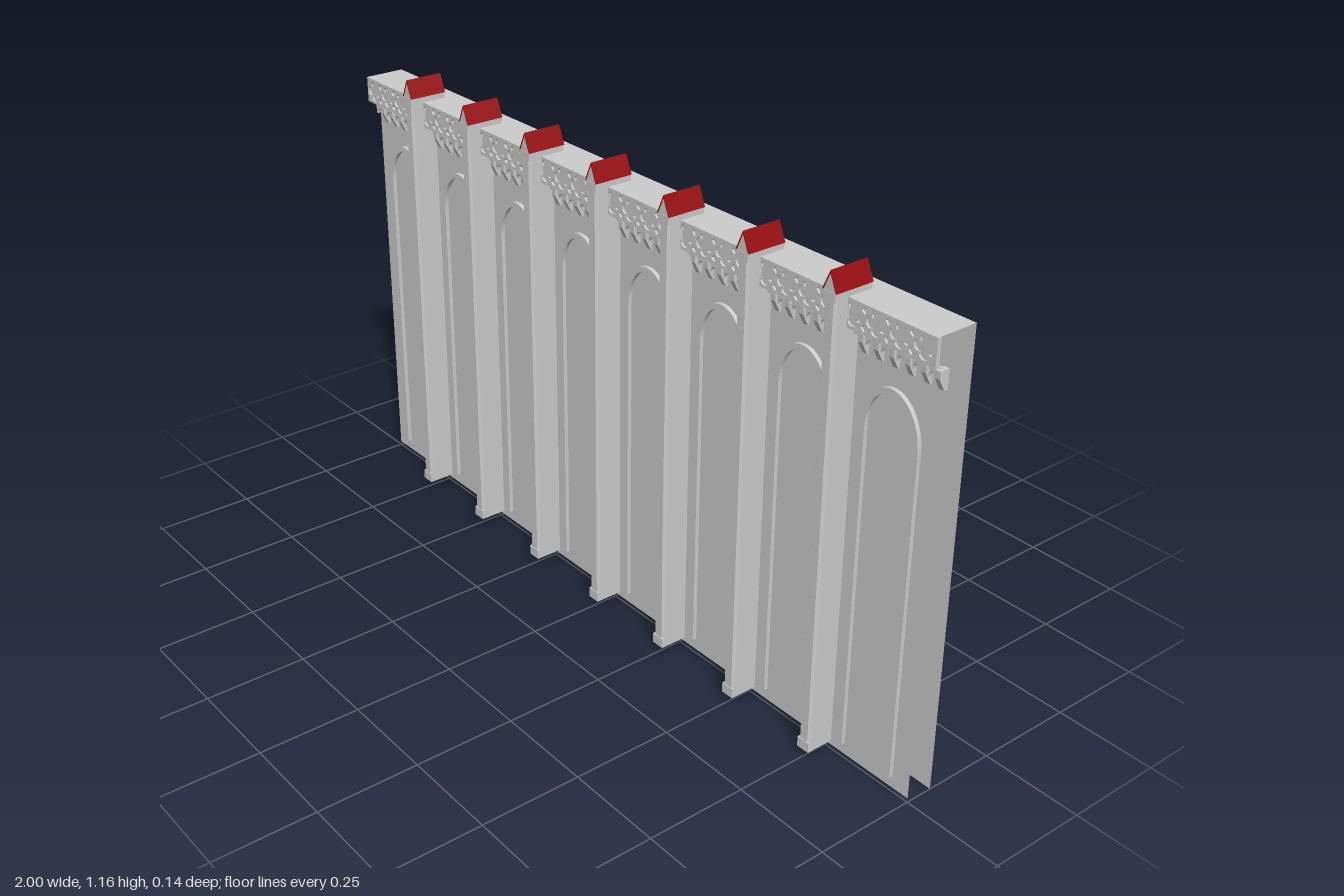
import * as THREE from 'three';

const stone = new THREE.MeshStandardMaterial({ color: 0xcccccc, side: THREE.DoubleSide, flatShading: true });
const tile = new THREE.MeshStandardMaterial({ color: 0x960c10, side: THREE.DoubleSide, flatShading: true });
const BAY = 0.25;

const polygon = (points) => new THREE.Shape(points.map(([x, y]) => new THREE.Vector2(x, y)));
const extrude = (shape, depth, curveSegments = 12) =>
  new THREE.ExtrudeGeometry(shape, { depth, bevelEnabled: false, curveSegments });

function add(parent, name, geometry, material = stone, x = 0, y = 0, z = 0) {
  const mesh = new THREE.Mesh(geometry, material);
  mesh.name = name;
  mesh.position.set(x, y, z);
  parent.add(mesh);
  return mesh;
}

// Folded sheet along x: back, top, parapet face, sloping soffit and front wall
function wallSheet() {
  const profile = [[-0.07, 0], [-0.07, 1.105], [0.03, 1.105], [0.03, 1.04], [0, 1.028], [0, 0.01]];
  const pos = [];
  for (let i = 0; i < profile.length - 1; i++) {
    const [za, ya] = profile[i], [zb, yb] = profile[i + 1];
    const a = [-1, ya, za], b = [-1, yb, zb], c = [1, yb, zb], d = [1, ya, za];
    pos.push(...a, ...b, ...c, ...a, ...c, ...d);
  }
  const g = new THREE.BufferGeometry();
  g.setAttribute('position', new THREE.Float32BufferAttribute(pos, 3));
  g.computeVertexNormals();
  return g;
}

// Tall round-headed outline standing at y = base
function archPath(path, half, base, spring, rise) {
  path.moveTo(half, base);
  path.lineTo(half, spring);
  path.absellipse(0, spring, half, rise, 0, Math.PI, false);
  path.lineTo(-half, base);
  return path;
}

// Hollow arch moulding, open at the foot
function archMoulding() {
  const shape = archPath(new THREE.Shape(), 0.078, 0.04, 0.83, 0.11);
  shape.lineTo(-0.066, 0.04);
  shape.lineTo(-0.066, 0.83);
  shape.absellipse(0, 0.83, 0.066, 0.098, Math.PI, 0, true);
  shape.lineTo(0.066, 0.04);
  return extrude(shape, 0.02, 16);
}

// One bay of parapet tracery: quatrefoils with small diamonds between
function traceryPanel() {
  const h = 0.0325, pitch = BAY / 4;
  const shape = polygon([[-BAY / 2, -h], [BAY / 2, -h], [BAY / 2, h], [-BAY / 2, h]]);
  for (let i = 0; i < 4; i++) {
    const cx = (i - 1.5) * pitch;
    const foil = [];
    for (let k = 0; k < 32; k++) {
      const t = (k / 32) * Math.PI * 2;
      const r = 0.015 + 0.011 * Math.sqrt(Math.abs(Math.cos(2 * t)));
      foil.push([cx + r * Math.cos(t), r * Math.sin(t)]);
    }
    shape.holes.push(polygon(foil));
    if (i === 3) continue;
    for (const s of [-1, 1]) {
      const x = cx + pitch / 2, y = s * 0.019, d = 0.008;
      shape.holes.push(polygon([[x - d, y], [x, y - d], [x + d, y], [x, y + d]]));
    }
  }
  return extrude(shape, 0.01);
}

// One bay of small arches hung between the corbels
function corbelArches() {
  const pitch = BAY / 6;
  const shape = new THREE.Shape();
  shape.moveTo(BAY / 2, 1.03);
  shape.lineTo(-BAY / 2, 1.03);
  shape.lineTo(-BAY / 2, 1.004);
  for (let i = 0; i < 6; i++) {
    const cx = (i - 2.5) * pitch;
    shape.lineTo(cx - 0.014, 1.004);
    shape.absellipse(cx, 1.004, 0.014, 0.016, Math.PI, 0, true);
  }
  shape.lineTo(BAY / 2, 1.004);
  return extrude(shape, 0.012, 6);
}

// Tapered bracket, profile in z and y
function corbel() {
  const w = 0.013;
  const g = extrude(polygon([[-0.005, 0.985], [0.005, 0.985], [0.012, 0.998], [0.019, 1.012], [0.02, 1.03], [-0.005, 1.03]]), w);
  return g.rotateY(-Math.PI / 2).translate(w / 2, 0, 0);
}

// Buttress with square foot and head, chamfered shaft and gabled tiled cap
function buttress() {
  const group = new THREE.Group();
  group.name = 'buttress';
  const w = 0.017, c = 0.006, z = 0.068;
  const shaft = extrude(polygon([
    [-w, 0.03], [w, 0.03], [w, -z + c], [w - c, -z], [-w + c, -z], [-w, -z + c],
  ]), 1.07);
  add(group, 'buttressShaft', shaft.rotateX(-Math.PI / 2), stone, 0, 0.04, 0);
  add(group, 'buttressFoot', new THREE.BoxGeometry(2 * w, 0.025, 0.1), stone, 0, 0.0325, 0.02);
  add(group, 'buttressHead', new THREE.BoxGeometry(2 * w, 0.02, 0.1), stone, 0, 1.11, 0.02);
  add(group, 'gable', extrude(polygon([[-w, 1.12], [w, 1.12], [0, 1.159]]), 0.098), stone, 0, 0, -0.029);
  const roof = polygon([[-0.02, 1.12], [-0.017, 1.12], [0, 1.159], [0.017, 1.12], [0.02, 1.12], [0, 1.165]]);
  add(group, 'capRoof', extrude(roof, 0.1), tile, 0, 0, -0.03);
  return group;
}

export function createModel() {
  const model = new THREE.Group();
  model.name = 'arcadedWall';
  add(model, 'wall', wallSheet());

  // Eight bays of blind arches, tracery and corbels
  const arch = archMoulding(), tracery = traceryPanel(), arches = corbelArches(), bracket = corbel();
  for (let i = 0; i < 8; i++) {
    const x = (i - 3.5) * BAY;
    add(model, 'archMoulding', arch, stone, x, 0, -0.01);
    add(model, 'parapetTracery', tracery, stone, x, 1.0725, 0.025);
    add(model, 'corbelArches', arches, stone, x, 0, 0);
    for (let k = 0; k < 6; k++) add(model, 'corbel', bracket, stone, x + (k - 2.5) * (BAY / 6) + BAY / 12 - (k === 5 && i === 7 ? 0.0065 : 0));
  }

  // Seven buttresses between the bays
  const pier = buttress();
  for (let i = -3; i <= 3; i++) {
    const copy = pier.clone();
    copy.position.x = i * BAY;
    model.add(copy);
  }
  return model;
}
